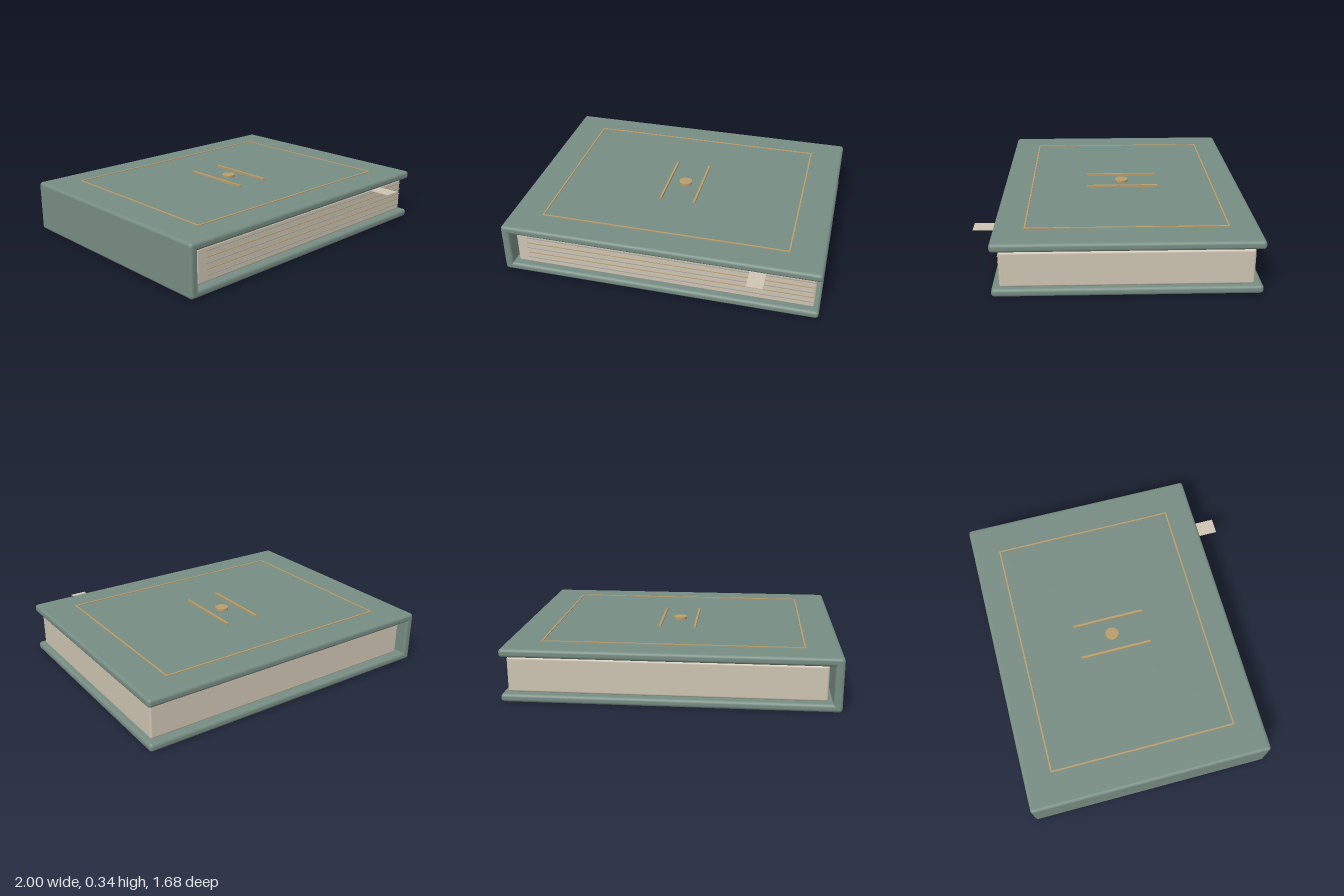
import * as THREE from 'three';
import { RoundedBoxGeometry } from 'three/addons/geometries/RoundedBoxGeometry.js';

const material = (name, color) => {
  const m = new THREE.MeshStandardMaterial({ color });
  m.name = name;
  return m;
};

export function createModel() {
  const book = new THREE.Group();
  book.name = 'book';

  const cloth = material('green cloth', 0x768c82);
  const paper = material('cream paper', 0xcdc4b2);
  const gold = material('gold', 0xb99c6a);
  const grey = material('grey page line', 0xa5a197);

  const add = (name, geometry, mat, x, y, z) => {
    const mesh = new THREE.Mesh(geometry, mat);
    mesh.name = name;
    mesh.position.set(x, y, z);
    book.add(mesh);
    return mesh;
  };

  // Box given by its extents; a radius rounds the edges
  const block = (name, mat, [x0, x1], [y0, y1], [z0, z1], radius = 0) => {
    const size = [x1 - x0, y1 - y0, z1 - z0];
    const geometry = radius
      ? new RoundedBoxGeometry(...size, 4, radius)
      : new THREE.BoxGeometry(...size);
    return add(name, geometry, mat, (x0 + x1) / 2, (y0 + y1) / 2, (z0 + z1) / 2);
  };

  // Binding: two boards joined by the spine
  const depth = [-0.84, 0.71];
  block('bottomCover', cloth, [-1, 1], [0, 0.05], depth, 0.02);
  block('topCover', cloth, [-1, 1], [0.276, 0.328], depth, 0.02);
  block('spine', cloth, [-1, -0.947], [0.005, 0.323], depth, 0.018);

  // Page block with fine lines along the front edge
  block('pages', paper, [-0.92, 0.968], [0.048, 0.265], [-0.79, 0.665], 0.014);
  [0.09, 0.128, 0.163, 0.2, 0.238].forEach((y, i) => {
    block('pageLine', i % 2 ? gold : grey, [-0.85, 0.962], [y - 0.002, y + 0.002], [0.66, 0.669]);
  });

  // Bookmark ribbon under the top cover
  block('ribbon', paper, [0.575, 0.675], [0.273, 0.278], [0.3, 0.84]);

  // Thin inlaid border on the top cover
  const top = [0.325, 0.333];
  for (const z of [-0.66, 0.525]) {
    block('borderLong', gold, [-0.79, 0.787], top, [z - 0.005, z + 0.005]);
  }
  for (const x of [-0.785, 0.782]) {
    block('borderShort', gold, [x - 0.005, x + 0.005], top, [-0.66, 0.525]);
  }

  // Central ornament: two bars and a disc
  for (const x of [-0.112, 0.112]) {
    block('ornamentBar', gold, [x - 0.007, x + 0.007], [0.325, 0.341], [-0.3, 0.167]);
  }
  add('ornamentDisc', new THREE.CylinderGeometry(0.043, 0.043, 0.02, 32), gold, 0, 0.334, -0.066);

  return book;
}
